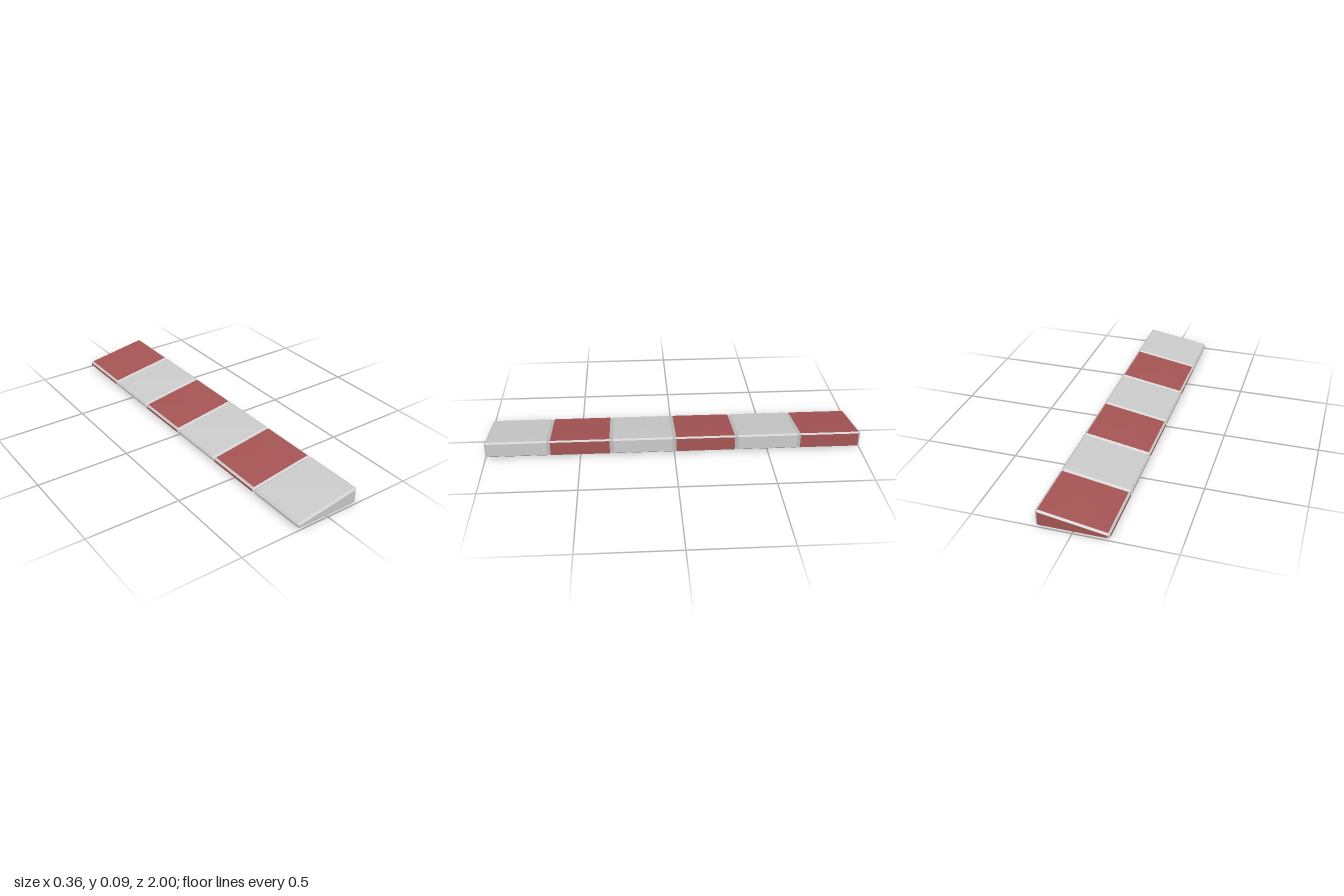
import * as THREE from 'three';

const BLOCKS = 6, LEN = 2 / BLOCKS, HALF_W = 0.178, BEVEL = 0.01;
const SIGNS = [-1, 1];

// Sloped top height at a given x (low on -x, high on +x)
const topY = (x) => 0.064 + x * 0.17;
const BOTTOM = 0.005;

// Corner of the panel lying on side `axis`; the other two axes are pulled in by the bevel
function corner(axis, s) {
  const x = s[0] * (HALF_W - (axis === 0 ? 0 : BEVEL));
  const z = s[2] * (LEN / 2 - (axis === 2 ? 0 : BEVEL));
  const inset = axis === 1 ? 0 : BEVEL * 0.8;
  const y = s[1] > 0 ? topY(x) - inset : BOTTOM + inset;
  return new THREE.Vector3(x, y, z);
}

// Sign triple from values on three axes
function signs(a, sa, b, sb, c, sc) {
  const s = [0, 0, 0];
  s[a] = sa; s[b] = sb; s[c] = sc;
  return s;
}

// Adds a triangle, turned to face away from the middle of the block
function addTri(list, a, b, c) {
  const n = b.clone().sub(a).cross(c.clone().sub(a));
  const out = a.clone().add(b).add(c).divideScalar(3).sub(new THREE.Vector3(0, 0.045, 0));
  const t = n.dot(out) < 0 ? [a, c, b] : [a, b, c];
  for (const p of t) list.push(p);
}

function toGeometry(list) {
  const g = new THREE.BufferGeometry().setFromPoints(list);
  g.computeVertexNormals();
  return g;
}

// Six large faces; top and bottom swell slightly towards their middle
function panelGeometry() {
  const list = [];
  for (let a = 0; a < 3; a++) {
    const b = (a + 1) % 3, c = (a + 2) % 3;
    for (const sa of SIGNS) {
      const ring = [[-1, -1], [1, -1], [1, 1], [-1, 1]]
        .map(([sb, sc]) => corner(a, signs(a, sa, b, sb, c, sc)));
      const mid = new THREE.Vector3();
      ring.forEach((p) => mid.addScaledVector(p, 0.25));
      if (a === 1) mid.y += sa * (sa > 0 ? 0.003 : BOTTOM);
      ring.forEach((p, i) => addTri(list, p, ring[(i + 1) % 4], mid));
    }
  }
  return toGeometry(list);
}

// Chamfer strips along the twelve edges and triangles at the eight corners
function bevelGeometry() {
  const list = [];
  for (let a = 0; a < 3; a++) {
    const b = (a + 1) % 3, c = (a + 2) % 3;
    for (const sa of SIGNS) for (const sb of SIGNS) {
      const lo = signs(a, sa, b, sb, c, -1), hi = signs(a, sa, b, sb, c, 1);
      addTri(list, corner(a, lo), corner(a, hi), corner(b, hi));
      addTri(list, corner(a, lo), corner(b, hi), corner(b, lo));
    }
  }
  for (const x of SIGNS) for (const y of SIGNS) for (const z of SIGNS) {
    const s = [x, y, z];
    addTri(list, corner(0, s), corner(1, s), corner(2, s));
  }
  return toGeometry(list);
}

export function createModel() {
  const model = new THREE.Group();
  model.name = 'curbStrip';
  const grey = new THREE.MeshStandardMaterial({ color: 0xcccccc, flatShading: true });
  const red = new THREE.MeshStandardMaterial({ color: 0xa65454, flatShading: true });
  const panels = panelGeometry(), bevels = bevelGeometry();

  // Alternating grey and red wedge blocks from front to back
  for (let i = 0; i < BLOCKS; i++) {
    const block = new THREE.Group();
    block.name = `${i % 2 ? 'red' : 'grey'}Block${i + 1}`;
    const faces = new THREE.Mesh(panels, i % 2 ? red : grey);
    faces.name = 'blockFaces';
    const edges = new THREE.Mesh(bevels, grey);
    edges.name = 'bevelledEdges';
    block.add(faces, edges);
    block.position.z = 1 - LEN * (i + 0.5);
    model.add(block);
  }
  return model;
}
